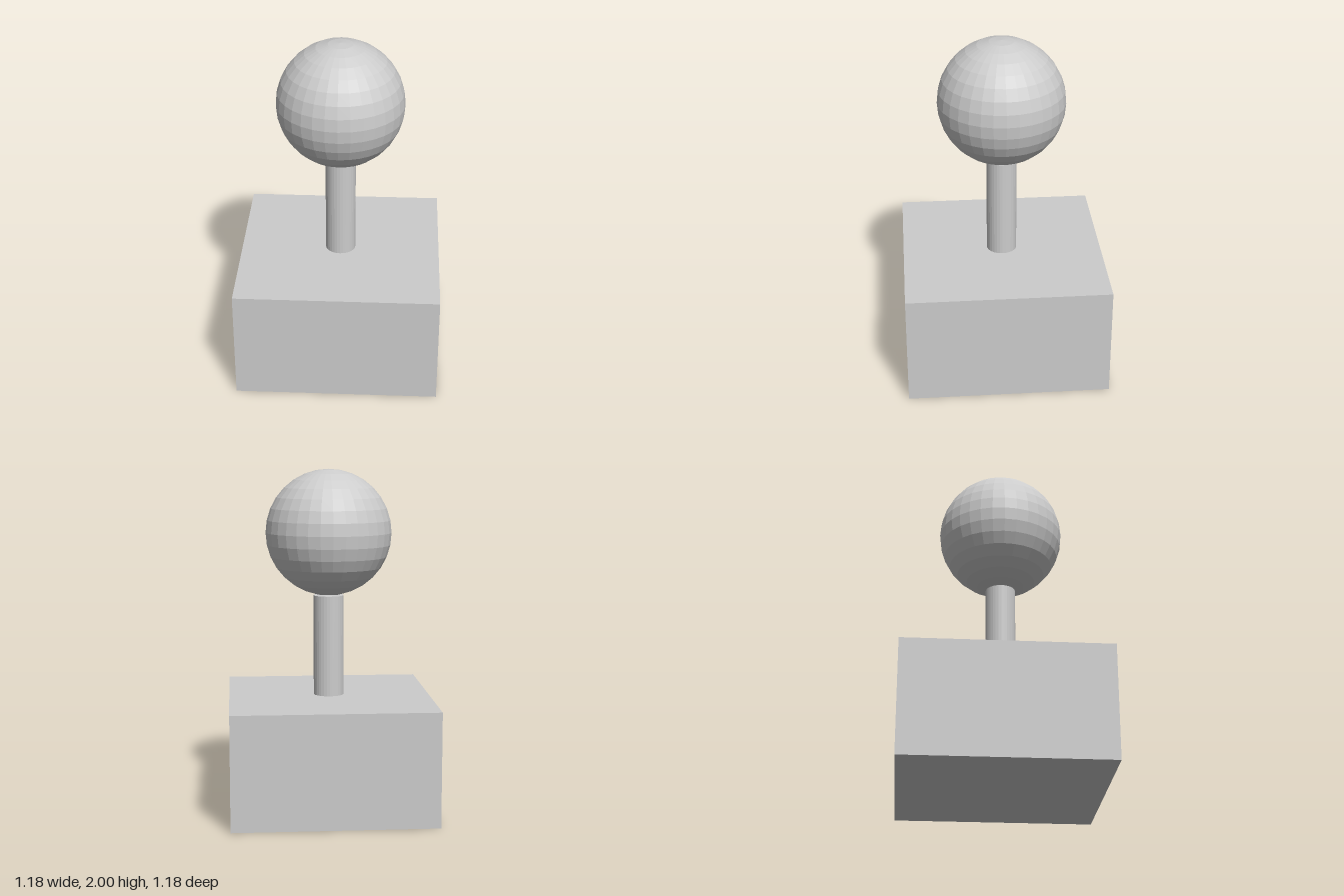
import * as THREE from 'three';

export function createModel() {
  const group = new THREE.Group();
  const grey = new THREE.MeshStandardMaterial({ color: 0xcccccc, flatShading: true });
  grey.name = 'light grey';

  const add = (name, geometry, y) => {
    const mesh = new THREE.Mesh(geometry, grey);
    mesh.name = name;
    mesh.position.y = y;
    group.add(mesh);
  };

  // Heights stack exactly: base, stem, ball
  const baseH = 0.667, stemH = 0.593, ballR = 0.37;
  add('base', new THREE.BoxGeometry(1.185, baseH, 1.185), baseH / 2);
  add('stem', new THREE.CylinderGeometry(0.089, 0.089, stemH, 32), baseH + stemH / 2);
  add('ball', new THREE.SphereGeometry(ballR, 32, 16), baseH + stemH + ballR);

  return group;
}
